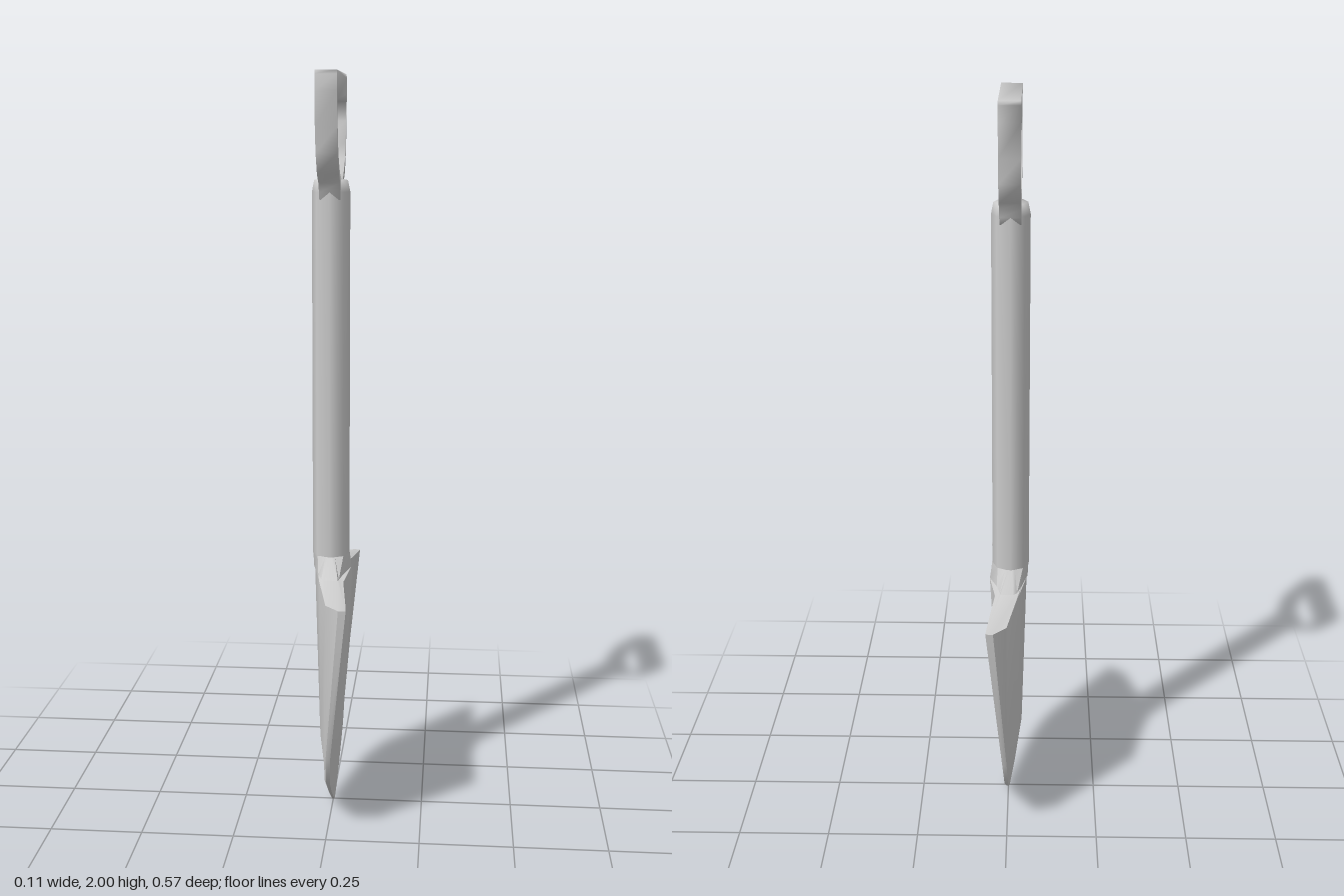
import * as THREE from 'three';
import { mergeVertices, toCreasedNormals } from 'three/addons/utils/BufferGeometryUtils.js';

const material = new THREE.MeshStandardMaterial({ color: 0xcccccc });

function part(name, geometry) {
  const mesh = new THREE.Mesh(geometry, material);
  mesh.name = name;
  return mesh;
}

// Blade: closed cross-sections stacked from tip to collar.
// Each row gives y, z, front x and back x at rim, chamfer, valley and centre.
function bladeGeometry() {
  const rows = [
    { y: [0, 0, 0, 0], z: [0.003, 0.002, 0.001, 0], f: [0.003, 0.003, 0.003, 0.004], b: [-0.002, -0.003, -0.003, -0.004] },
    { y: [0.065, 0.065, 0.062, 0.06], z: [0.1, 0.09, 0.04, 0], f: [0.004, 0.005, 0.009, 0.011], b: [-0.003, -0.006, -0.01, -0.012] },
    { y: [0.14, 0.14, 0.14, 0.14], z: [0.2, 0.185, 0.075, 0], f: [0.007, 0.008, 0.015, 0.019], b: [-0.003, -0.008, -0.02, -0.025] },
    { y: [0.23, 0.23, 0.23, 0.23], z: [0.25, 0.238, 0.09, 0], f: [0.012, 0.012, 0.021, 0.027], b: [0, -0.006, -0.028, -0.038] },
    { y: [0.655, 0.658, 0.675, 0.68], z: [0.283, 0.25, 0.1, 0], f: [0.055, 0.052, 0.035, 0.052], b: [0.035, 0, -0.03, -0.05] },
    { y: [0.678, 0.678, 0.682, 0.69], z: [0.1, 0.09, 0.06, 0], f: [0.02, 0.022, 0.03, 0.05], b: [-0.015, -0.025, -0.036, -0.053] },
    { y: [0.728, 0.728, 0.728, 0.73], z: [0.05, 0.047, 0.035, 0], f: [0, 0.008, 0.03, 0.045], b: [-0.01, -0.018, -0.04, -0.055] },
  ];
  const order = [0, 1, 2, 3, 2, 1, 0];
  const n = 14;
  const pos = [], index = [];
  for (const r of rows) {
    order.forEach((k, i) => pos.push(r.f[k], r.y[k], i < 4 ? r.z[k] : -r.z[k]));
    order.forEach((k, i) => pos.push(r.b[k], r.y[k], i < 4 ? -r.z[k] : r.z[k]));
  }
  for (let r = 0; r < rows.length - 1; r++) {
    for (let i = 0; i < n; i++) {
      const a = r * n + i, b = r * n + (i + 1) % n;
      index.push(a, b, b + n, a, b + n, a + n);
    }
  }
  // Close the tip
  for (let i = 1; i < n - 1; i++) index.push(0, i + 1, i);
  const g = new THREE.BufferGeometry();
  g.setAttribute('position', new THREE.Float32BufferAttribute(pos, 3));
  g.setIndex(index);
  return toCreasedNormals(g, 0.7);
}

// Eight-sided shaft, slightly offset towards the back
function shaftGeometry() {
  const profile = [[0, 0.64], [0.035, 0.64], [0.05, 0.73], [0.05, 1.7], [0.044, 1.73], [0, 1.738]];
  const g = new THREE.LatheGeometry(profile.map(([r, y]) => new THREE.Vector2(r, y)), 8);
  return g.translate(-0.006, 0, 0);
}

// D-shaped grip: half outlines mirrored, with a window
function gripGeometry() {
  const mirrored = (half) => [...half, ...half.slice().reverse().map(([z, y]) => [-z, y])]
    .map(([z, y]) => new THREE.Vector2(z, y));
  const shape = new THREE.Shape(mirrored([
    [0.04, 1.68], [0.05, 1.7], [0.065, 1.724], [0.105, 1.748], [0.14, 1.8],
    [0.157, 1.865], [0.166, 1.95], [0.165, 1.99], [0.16, 2.0],
  ]));
  shape.holes.push(new THREE.Path(mirrored([
    [0.012, 1.732], [0.06, 1.748], [0.1, 1.783], [0.125, 1.825], [0.14, 1.88], [0.147, 1.93],
  ])));
  let g = new THREE.ExtrudeGeometry(shape, { depth: 0.055, bevelEnabled: false });
  g.rotateY(-Math.PI / 2).translate(0.022, 0, 0);
  // Soft shading across the edges
  g.deleteAttribute('uv');
  g.deleteAttribute('normal');
  g = mergeVertices(g);
  g.computeVertexNormals();
  return g;
}

export function createModel() {
  const shovel = new THREE.Group();
  shovel.name = 'shovel';
  shovel.add(
    part('blade', bladeGeometry()),
    part('shaft', shaftGeometry()),
    part('handGrip', gripGeometry()),
  );
  return shovel;
}
